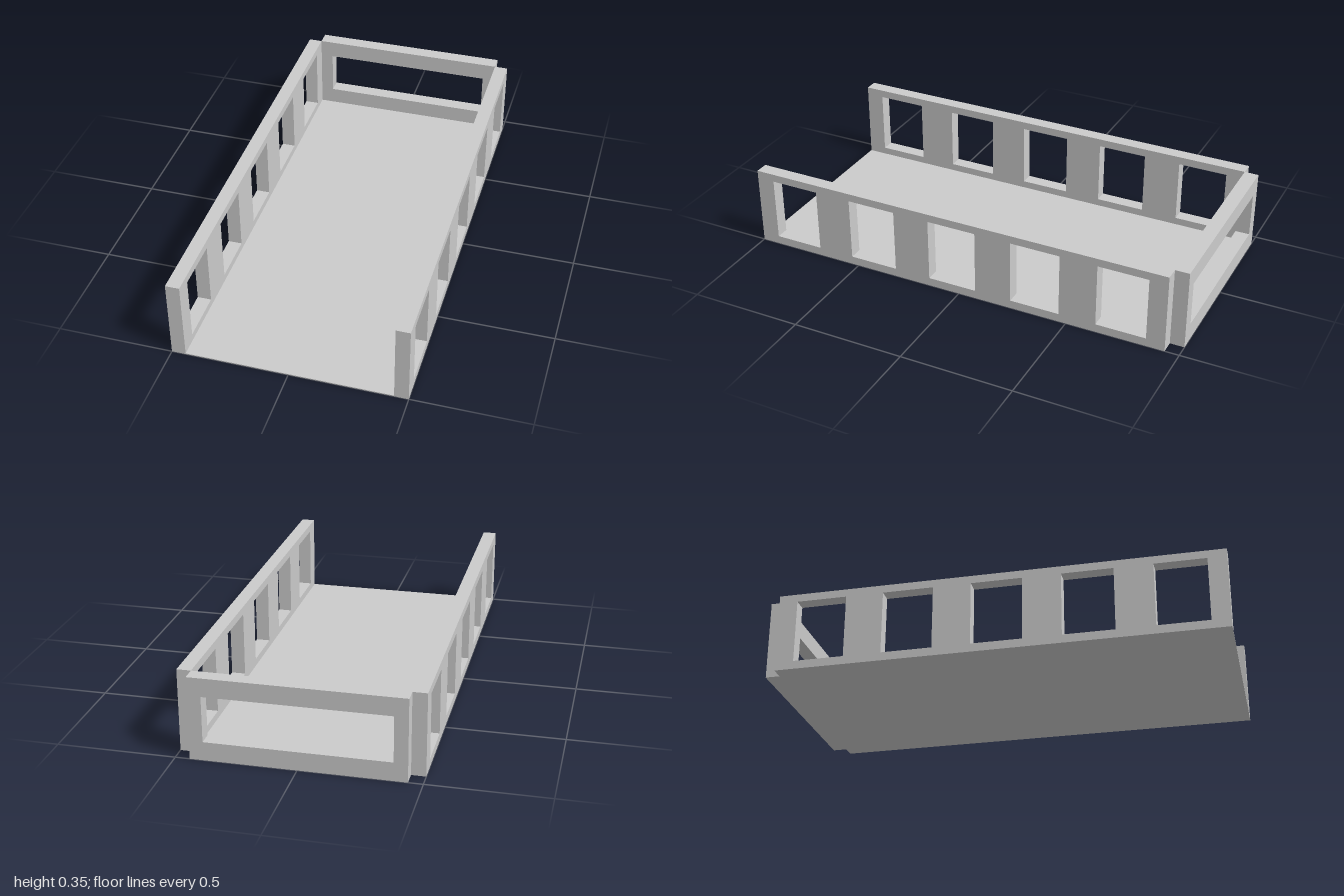
import * as THREE from 'three';

const HEIGHT = 0.355, WALL = 0.06, HALF_WIDTH = 0.5, BACK = -0.937;

// Rectangular panel with rectangular openings, each given as [x0, x1, y0, y1]
function panel(x0, x1, openings, depth) {
  const rect = (path, a, b, c, d) =>
    path.moveTo(a, c).lineTo(b, c).lineTo(b, d).lineTo(a, d).closePath();
  const shape = rect(new THREE.Shape(), x0, x1, 0, HEIGHT);
  for (const o of openings) shape.holes.push(rect(new THREE.Path(), ...o));
  return new THREE.ExtrudeGeometry(shape, { depth, bevelEnabled: false });
}

export function createModel() {
  const group = new THREE.Group();
  const material = new THREE.MeshStandardMaterial({ color: 0xcccccc, flatShading: true });
  const add = (name, geometry) => {
    const mesh = new THREE.Mesh(geometry, material);
    mesh.name = name;
    group.add(mesh);
    return mesh;
  };

  // Thin floor between the walls
  const inner = HALF_WIDTH - WALL, floorThickness = 0.004;
  const floor = add('floor', new THREE.BoxGeometry(2 * inner, floorThickness, 1 - BACK));
  floor.position.set(0, floorThickness / 2, (1 + BACK) / 2);

  // Side walls, each with five evenly spaced windows
  const windows = [];
  for (let i = 0; i < 5; i++) {
    const z = 0.808 - i * 0.388;
    windows.push([z - 0.111, z + 0.111, 0.037, 0.32]);
  }
  for (const side of [-1, 1]) {
    const geometry = panel(BACK, 1, windows, WALL);
    geometry.rotateY(-Math.PI / 2);
    geometry.translate(side > 0 ? HALF_WIDTH : -inner, 0, 0);
    add(side > 0 ? 'leftWall' : 'rightWall', geometry);
  }

  // Back wall with one wide window, set behind the side walls
  const back = panel(-inner, inner, [[-0.383, 0.383, 0.08, 0.276]], BACK + 1);
  back.translate(0, 0, -1);
  add('backWall', back);

  return group;
}
